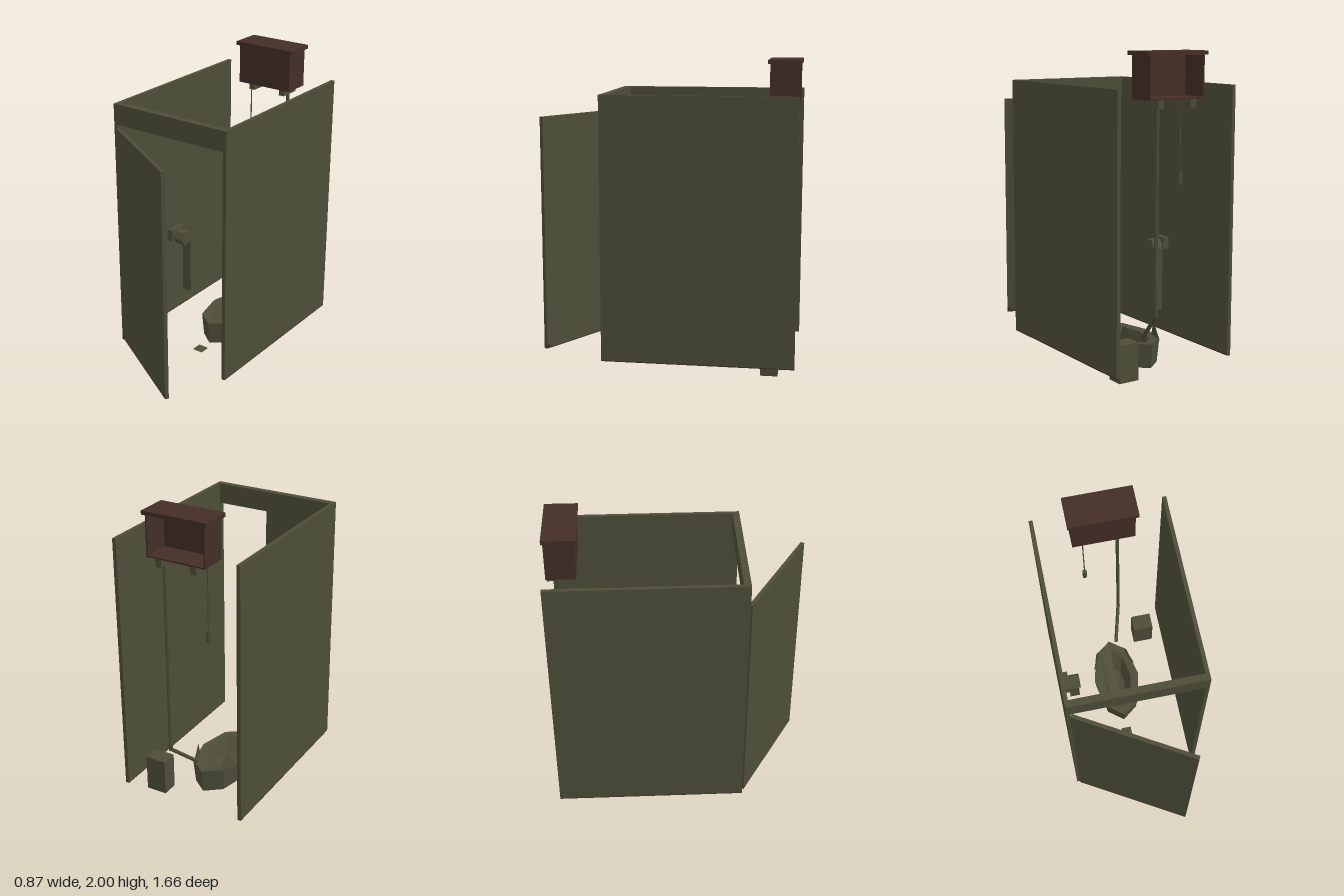
import * as THREE from 'three';

export function createModel() {
  const group = new THREE.Group();
  group.name = 'toiletCubicle';
  const make = (name, color) => new THREE.MeshStandardMaterial({ name, color, side: THREE.DoubleSide, flatShading: true });
  const olive = make('olive', 0x4d4d39);
  const brown = make('rustBrown', 0x432e26);

  const add = (name, geometry, material, parent = group) => {
    const mesh = new THREE.Mesh(geometry, material);
    mesh.name = name;
    parent.add(mesh);
    return mesh;
  };
  // Box given by its limits on each axis
  const box = (name, [x0, x1], [y0, y1], [z0, z1], material = olive, parent = group) => {
    const mesh = add(name, new THREE.BoxGeometry(x1 - x0, y1 - y0, z1 - z0), material, parent);
    mesh.position.set((x0 + x1) / 2, (y0 + y1) / 2, (z0 + z1) / 2);
    return mesh;
  };
  // Straight rod between two points
  const rod = (name, a, b, radius, sides = 6) => {
    const from = new THREE.Vector3(...a), to = new THREE.Vector3(...b);
    const mesh = add(name, new THREE.CylinderGeometry(radius, radius, from.distanceTo(to), sides), olive);
    mesh.position.copy(from).lerp(to, 0.5);
    mesh.quaternion.setFromUnitVectors(new THREE.Vector3(0, 1, 0), to.sub(from).normalize());
  };
  const surface = (points, index) => {
    const g = new THREE.BufferGeometry();
    g.setAttribute('position', new THREE.Float32BufferAttribute(points, 3));
    g.setIndex(index);
    g.computeVertexNormals();
    return g;
  };

  // Side walls with a worn lower edge, joined by a beam at the front
  for (const s of [-1, 1]) {
    const x = s < 0 ? [-0.435, -0.41] : [0.41, 0.435];
    box('sideWall', x, [0.084, 1.79], [-0.83, 0.41]);
    box('wallBottomEdge', x, [0.078, 0.084], [-0.83, 0.41], brown);
  }
  box('frontBeam', [-0.41, 0.41], [1.655, 1.79], [0.365, 0.41]);

  // Half-open door, hinged on the -x side
  const door = new THREE.Group();
  door.name = 'door';
  door.position.set(-0.408, 0, 0.412);
  door.rotation.y = -Math.atan2(0.405, 0.69);
  group.add(door);
  box('doorPanel', [0, 0.8], [0.1, 1.635], [-0.0125, 0.0125], olive, door);
  box('doorBottomEdge', [0, 0.8], [0.096, 0.1], [-0.0125, 0.0125], brown, door);
  for (const z of [-0.0135, 0.0135]) {
    for (const [x, s] of [[0, 1], [0.8, -1]]) {
      add('doorCornerWear', surface([x, 0.1, z, x + s * 0.05, 0.1, z, x, 0.13, z], [0, 1, 2]), brown, door);
    }
  }

  // High cistern, open at the back
  const z = [-0.82, -0.635];
  box('cisternLid', [-0.22, 0.22], [1.975, 2], [-0.83, -0.62], brown);
  box('cisternFront', [-0.2, 0.2], [1.72, 1.975], [-0.645, -0.635], brown);
  box('cisternFloor', [-0.2, 0.2], [1.715, 1.725], z, brown);
  for (const x of [-0.2, 0.19]) box('cisternSide', [x, x + 0.01], [1.72, 1.975], z, brown);
  for (const x of [-0.12, 0.12]) box('cisternBracket', [x - 0.02, x + 0.02], [1.665, 1.715], [-0.82, -0.67]);

  // Flush pipe and pull cord
  rod('flushPipe', [0.11, 1.715, -0.77], [0.11, 0.39, -0.77], 0.012);
  rod('flushPipeBend', [0.11, 0.4, -0.77], [0.05, 0.21, -0.56], 0.013);
  rod('pullCord', [-0.13, 1.715, -0.68], [-0.13, 1.25, -0.68], 0.004);
  rod('pullHandle', [-0.13, 1.255, -0.68], [-0.13, 1.18, -0.68], 0.016);

  // Faceted bowl from eight-sided rings: foot, rim, inner lip, basin: [rx, rz, y, centre z]
  const rings = [
    [0.15, 0.28, 0, -0.292], [0.165, 0.295, 0.16, -0.294],
    [0.105, 0.225, 0.155, -0.295], [0.06, 0.14, 0.06, -0.27], [0.001, 0.002, 0.04, -0.22],
  ];
  const points = [], index = [];
  rings.forEach(([rx, rz, y, cz], r) => {
    for (let i = 0; i < 8; i++) {
      const a = (i * Math.PI) / 4;
      points.push(rx * Math.sin(a), y, cz + rz * Math.cos(a));
      if (r < rings.length - 1) {
        const p = r * 8 + i, q = r * 8 + ((i + 1) % 8);
        index.push(p, q, q + 8, p, q + 8, p + 8);
      }
    }
  });
  add('bowl', surface(points, index), olive);

  // Raised fins at the back corners of the rim
  for (const s of [-1, 1]) {
    const fin = [s * 0.1, 0.15, -0.53, s * 0.152, 0.15, -0.39, s * 0.11, 0.265, -0.445, s * 0.125, 0.15, -0.4];
    add('bowlFin', surface(fin, s > 0 ? [0, 2, 1, 0, 3, 2, 1, 2, 3] : [0, 1, 2, 0, 2, 3, 1, 3, 2]), olive);
  }

  // Bin and floor drain
  box('bin', [0.2, 0.34], [0, 0.24], [-0.72, -0.61]);
  box('floorDrain', [-0.036, 0.036], [0, 0.004], [0.055, 0.125]);

  // Paper holder with roll and hanging sheet
  box('paperHolder', [-0.41, -0.365], [0.66, 0.74], [-0.2, -0.075]);
  const roll = add('paperRoll', new THREE.CylinderGeometry(0.052, 0.052, 0.075, 6), olive);
  roll.position.set(-0.3275, 0.68, -0.14);
  roll.rotation.z = Math.PI / 2;
  box('paperSheet', [-0.365, -0.295], [0.24, 0.68], [-0.192, -0.188]);

  return group;
}
